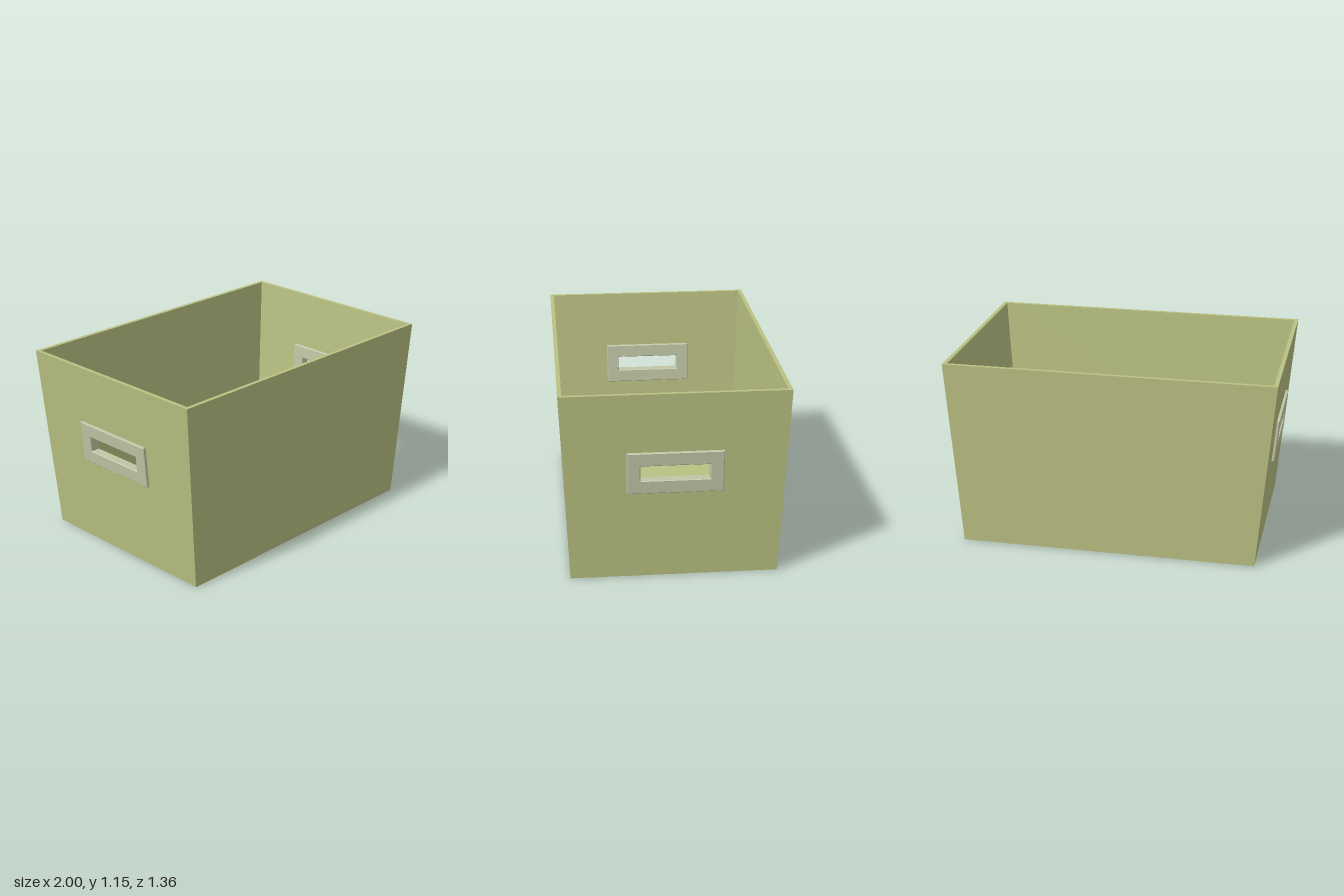
import * as THREE from 'three';

const H = 1.15, T = 0.024;              // height and wall thickness
const TOP = { x: 0.981, z: 0.65 };      // half sizes at the rim
const BOT = { x: 0.895, z: 0.605 };     // half sizes at the base
const LEAN = { x: 0.013, z: -0.003 };   // offset of the base from the rim

// Closed outline, widths given as half sizes
function trapezoid(Base, bottomHalf, topHalf, y0, y1) {
  return new Base([[-bottomHalf, y0], [bottomHalf, y0], [topHalf, y1], [-topHalf, y1]]
    .map(([x, y]) => new THREE.Vector2(x, y)));
}

// Shift a part with the leaning body
function lean(geo) {
  const p = geo.attributes.position;
  for (let i = 0; i < p.count; i++) {
    const k = 1 - p.getY(i) / H;
    p.setX(i, p.getX(i) + LEAN.x * k);
    p.setZ(i, p.getZ(i) + LEAN.z * k);
  }
  geo.computeVertexNormals();
  return geo;
}

// Extrude a slab, slope it with the body's taper and turn it to its side
function slopedSlab(shape, axis, inner, outer, angle, bevel = 0) {
  const geo = new THREE.ExtrudeGeometry(shape, {
    depth: outer - inner - 2 * bevel, bevelEnabled: bevel > 0, bevelSegments: 1,
    bevelSize: bevel, bevelThickness: bevel, bevelOffset: -bevel,
  });
  const p = geo.attributes.position;
  const slope = (TOP[axis] - BOT[axis]) / H;
  for (let i = 0; i < p.count; i++) {
    p.setZ(i, p.getZ(i) + bevel + inner + BOT[axis] + slope * p.getY(i));
  }
  geo.rotateY(angle);
  return lean(geo);
}

export function createModel() {
  const bodyMat = new THREE.MeshStandardMaterial({ color: 0xbac182 });
  bodyMat.name = 'olive';
  const handleMat = new THREE.MeshStandardMaterial({ color: 0xc1c6a6 });
  handleMat.name = 'pale grey green';

  const bin = new THREE.Group();
  bin.name = 'storageBin';
  const add = (name, geo, mat) => {
    const mesh = new THREE.Mesh(geo, mat);
    mesh.name = name;
    bin.add(mesh);
  };

  // Floor
  const floor = new THREE.BoxGeometry(2 * BOT.x - T, T, 2 * BOT.z - T).toNonIndexed();
  floor.translate(0, T / 2, 0);
  add('floor', lean(floor), bodyMat);

  // Long walls, tucked between the end walls
  for (const [name, angle] of [['frontWall', 0], ['backWall', Math.PI]]) {
    const shape = trapezoid(THREE.Shape, BOT.x - T / 2, TOP.x - T / 2, 0, H);
    add(name, slopedSlab(shape, 'z', -T, 0, angle), bodyMat);
  }

  // End walls, each with a framed hand hole
  for (const [side, angle] of [['left', Math.PI / 2], ['right', -Math.PI / 2]]) {
    const wall = trapezoid(THREE.Shape, BOT.z, TOP.z, 0, H);
    wall.holes.push(trapezoid(THREE.Path, 0.21, 0.21, 0.61, 0.73));
    add(side + 'Wall', slopedSlab(wall, 'x', -T, 0, angle), bodyMat);

    const frame = trapezoid(THREE.Shape, 0.276, 0.276, 0.545, 0.797);
    frame.holes.push(trapezoid(THREE.Path, 0.199, 0.199, 0.625, 0.717));
    add(side + 'HandleFrame', slopedSlab(frame, 'x', -T - 0.018, 0.018, angle, 0.004), handleMat);
  }

  // The bin stands slightly turned
  bin.rotation.y = -0.03;
  const model = new THREE.Group();
  model.name = 'bin';
  model.add(bin);
  return model;
}
